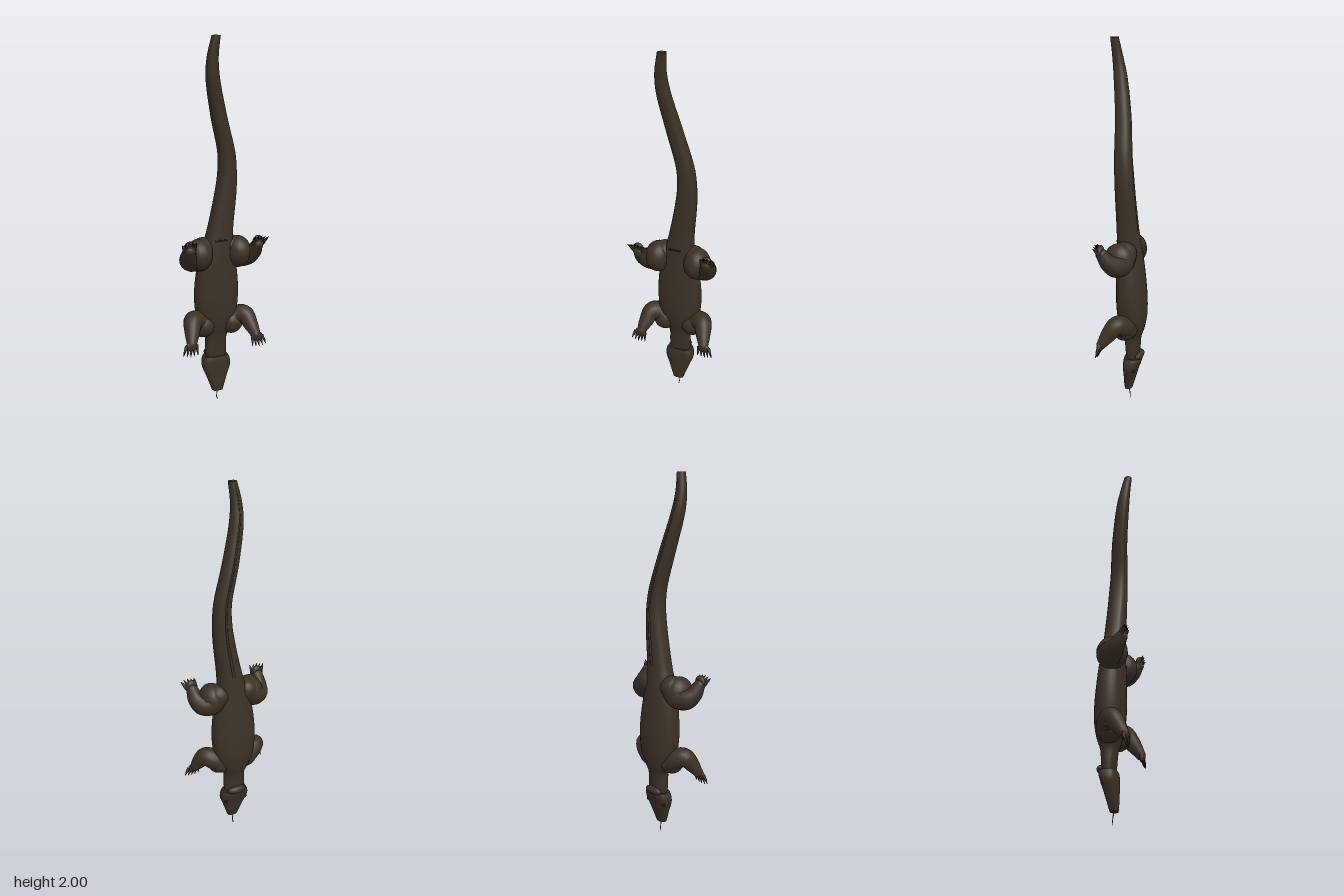
import * as THREE from 'three';

const V = (x, y, z) => new THREE.Vector3(x, y, z);
const material = (name, color) => {
  const m = new THREE.MeshStandardMaterial({ color });
  m.name = name;
  return m;
};

// Rounded cross-sections stacked along y; rows are [y, centre x, belly z, back z, half width]
function loft(rows, steps, squareness) {
  const mid = new THREE.CatmullRomCurve3(rows.map(r => V(r[1], r[0], (r[2] + r[3]) / 2)), false, 'centripetal');
  const size = new THREE.CatmullRomCurve3(rows.map(r => V(r[4], (r[2] - r[3]) / 2, r[0])), false, 'centripetal');
  const N = 28, pos = [], idx = [];
  const pow = v => Math.sign(v) * Math.abs(v) ** squareness;
  const ring = (t, k) => {
    const c = mid.getPoint(t), s = size.getPoint(t);
    for (let j = 0; j < N; j++) {
      const a = j / N * Math.PI * 2, sn = Math.sin(a);
      // the belly side is flatter than the back
      const z = sn > 0 ? Math.sign(sn) * sn ** (squareness * 0.75) : pow(sn);
      pos.push(c.x + s.x * k * pow(Math.cos(a)), c.y, c.z + s.y * k * z);
    }
  };
  ring(0, 0.001); ring(0, 1);
  for (let i = 0; i <= steps; i++) ring(i / steps, 1);
  ring(1, 1); ring(1, 0.001);
  for (let i = 0; i < steps + 4; i++) for (let j = 0; j < N; j++) {
    const a = i * N + j, b = i * N + (j + 1) % N;
    idx.push(a, a + N, b, b, a + N, b + N);
  }
  const g = new THREE.BufferGeometry();
  g.setAttribute('position', new THREE.Float32BufferAttribute(pos, 3));
  g.setIndex(idx);
  g.computeVertexNormals();
  return g;
}

// Tube whose radius follows a list of values
function taperedTube(points, radii, steps, sides) {
  const curve = new THREE.CatmullRomCurve3(points, false, 'centripetal');
  const rad = new THREE.CatmullRomCurve3(radii.map((r, i) => V(r, i, 0)), false, 'catmullrom');
  const g = new THREE.TubeGeometry(curve, steps, 1, sides);
  const p = g.attributes.position, q = V(0, 0, 0);
  for (let i = 0; i <= steps; i++) {
    const t = curve.getUtoTmapping(i / steps), c = curve.getPoint(t), r = rad.getPoint(t).x;
    for (let j = 0; j <= sides; j++) {
      const k = i * (sides + 1) + j;
      q.fromBufferAttribute(p, k).sub(c).multiplyScalar(r).add(c);
      p.setXYZ(k, q.x, q.y, q.z);
    }
  }
  return g;
}

export function createModel() {
  const model = new THREE.Group();
  const skin = material('dark brown skin', 0x3b3126);
  const dark = material('dark claw', 0x1d1813);
  const pink = material('tongue grey', 0x4a4550);

  const add = (parent, name, geo, mat) => {
    const m = new THREE.Mesh(geo, mat);
    m.name = name;
    parent.add(m);
    return m;
  };
  const ball = (parent, name, c, s, mat = skin) => {
    const m = add(parent, name, new THREE.SphereGeometry(1, 20, 14), mat);
    m.position.copy(c);
    m.scale.set(...s);
    return m;
  };

  // Neck, torso and swaying tail
  const bodyRows = [
    [0.22, 0, -0.005, -0.07, 0.055], [0.30, 0, 0, -0.075, 0.062], [0.38, 0, 0.01, -0.082, 0.062],
    [0.43, 0, 0.025, -0.098, 0.085], [0.50, 0, 0.04, -0.11, 0.112], [0.60, 0, 0.048, -0.11, 0.125],
    [0.70, 0, 0.048, -0.102, 0.122], [0.80, 0, 0.048, -0.092, 0.108], [0.90, 0.003, 0.047, -0.08, 0.084],
    [1.00, 0.017, 0.046, -0.07, 0.07], [1.20, 0.046, 0.047, -0.058, 0.057], [1.30, 0.052, 0.049, -0.052, 0.05],
    [1.40, 0.045, 0.052, -0.042, 0.046], [1.60, -0.008, 0.064, -0.02, 0.042], [1.80, -0.055, 0.087, 0.016, 0.035],
    [1.90, -0.061, 0.096, 0.04, 0.029], [2.00, -0.048, 0.103, 0.06, 0.022]];
  add(model, 'body and tail', loft(bodyRows, 110, 0.92), skin);

  // Keel along the back of the tail
  const keel = bodyRows.slice(9).map(r => V(r[1], r[0], r[3] + 0.003));
  add(model, 'tailKeel', taperedTube(keel, keel.map((_, i) => 0.008 - i * 0.0006), 50, 6), skin);

  // Vent slit at the tail base
  const vent = add(model, 'vent', new THREE.BoxGeometry(0.07, 0.01, 0.006), dark);
  vent.position.set(0, 0.935, 0.046);

  // Wedge-shaped head
  const head = new THREE.Group();
  head.name = 'head';
  model.add(head);
  add(head, 'skull', loft([
    [0.065, 0, 0.008, -0.032, 0.03], [0.10, 0, 0.01, -0.042, 0.042], [0.15, 0, 0.01, -0.056, 0.06],
    [0.21, 0, 0.011, -0.074, 0.082], [0.245, 0, 0.01, -0.085, 0.079], [0.265, 0, 0.006, -0.085, 0.07]], 30, 0.75), skin);
  ball(head, 'crown', V(0, 0.275, -0.074), [0.056, 0.023, 0.024]);

  // Forked tongue
  add(head, 'tongue', taperedTube([V(0, 0.07, -0.012), V(0, 0.035, -0.018)], [0.003, 0.0025], 4, 6), pink);

  for (const s of [1, -1]) {
    const side = s > 0 ? 'left' : 'right';
    ball(head, side + 'Eye', V(s * 0.061, 0.2, -0.054), [0.011, 0.013, 0.012], dark);
    ball(head, side + 'Nostril', V(s * 0.021, 0.085, -0.031), [0.005, 0.006, 0.004], dark);
    add(head, side + 'TongueTip', taperedTube([V(0, 0.036, -0.018), V(s * 0.002, 0.018, -0.02),
      V(s * 0.004, 0.0, -0.021)], [0.0022, 0.0016, 0.0008], 6, 5), pink);
  }

  // A limb: thick curved tube, rounded ends, foot, toes and claws
  function limb(name, s, points, radii, footCentre, footSize, dir, spread) {
    const g = new THREE.Group();
    g.name = name;
    model.add(g);
    const pts = points.map(p => V(s * p[0], p[1], p[2]));
    add(g, name + 'Muscle', taperedTube(pts, radii, 30, 18), skin);
    const ends = [0, pts.length - 1];
    for (const i of ends) ball(g, name + 'Joint', pts[i], [radii[i], radii[i], radii[i]]);
    const c = V(s * footCentre[0], footCentre[1], footCentre[2]);
    ball(g, name + 'Foot', c, footSize);
    const d = V(s * dir[0], dir[1], dir[2]).normalize();
    for (let i = -2; i <= 2; i++) {
      const toe = V(i * 0.014, -Math.abs(i) * 0.003 * Math.sign(dir[1]), 0).add(c);
      const aim = d.clone().add(V(i * spread, 0, 0)).normalize();
      const tip = toe.clone().addScaledVector(aim, 0.036);
      const end = tip.clone().addScaledVector(aim, 0.02).add(V(0, -0.004, 0));
      add(g, name + 'Toe', taperedTube([toe, tip], [0.01, 0.006], 4, 8), skin);
      add(g, name + 'Claw', taperedTube([tip, tip.clone().lerp(end, 0.5), end], [0.0055, 0.0035, 0.0006], 5, 6), dark);
    }
  }

  for (const s of [1, -1]) {
    const side = s > 0 ? 'left' : 'right';
    // Foreleg: elbow raised, hand reaching towards the head
    limb(side + 'Foreleg', s,
      [[0.075, 0.455, -0.02], [0.12, 0.485, -0.012], [0.155, 0.495, 0.012], [0.178, 0.44, 0.055], [0.192, 0.395, 0.084]],
      [0.062, 0.058, 0.052, 0.04, 0.027], [0.196, 0.385, 0.09], [0.034, 0.026, 0.017], [0.2, -1, 0.2], 0.13);
    ball(model, side + 'Shoulder', V(s * 0.085, 0.455, -0.012), [0.065, 0.065, 0.062]);
    // Hind leg: thigh bulges down, shank folds back up to the foot
    limb(side + 'HindLeg', s,
      [[0.085, 0.885, -0.015], [0.125, 0.845, -0.005], [0.165, 0.838, 0.01], [0.19, 0.86, 0.042], [0.2, 0.905, 0.075]],
      [0.065, 0.07, 0.062, 0.047, 0.032], [0.2, 0.915, 0.082], [0.034, 0.042, 0.02], [0.1, 0.35, 0.2], 0.12);
    ball(model, side + 'Thigh', V(s * 0.115, 0.86, 0.005), [0.072, 0.088, 0.083]);
  }
  return model;
}
